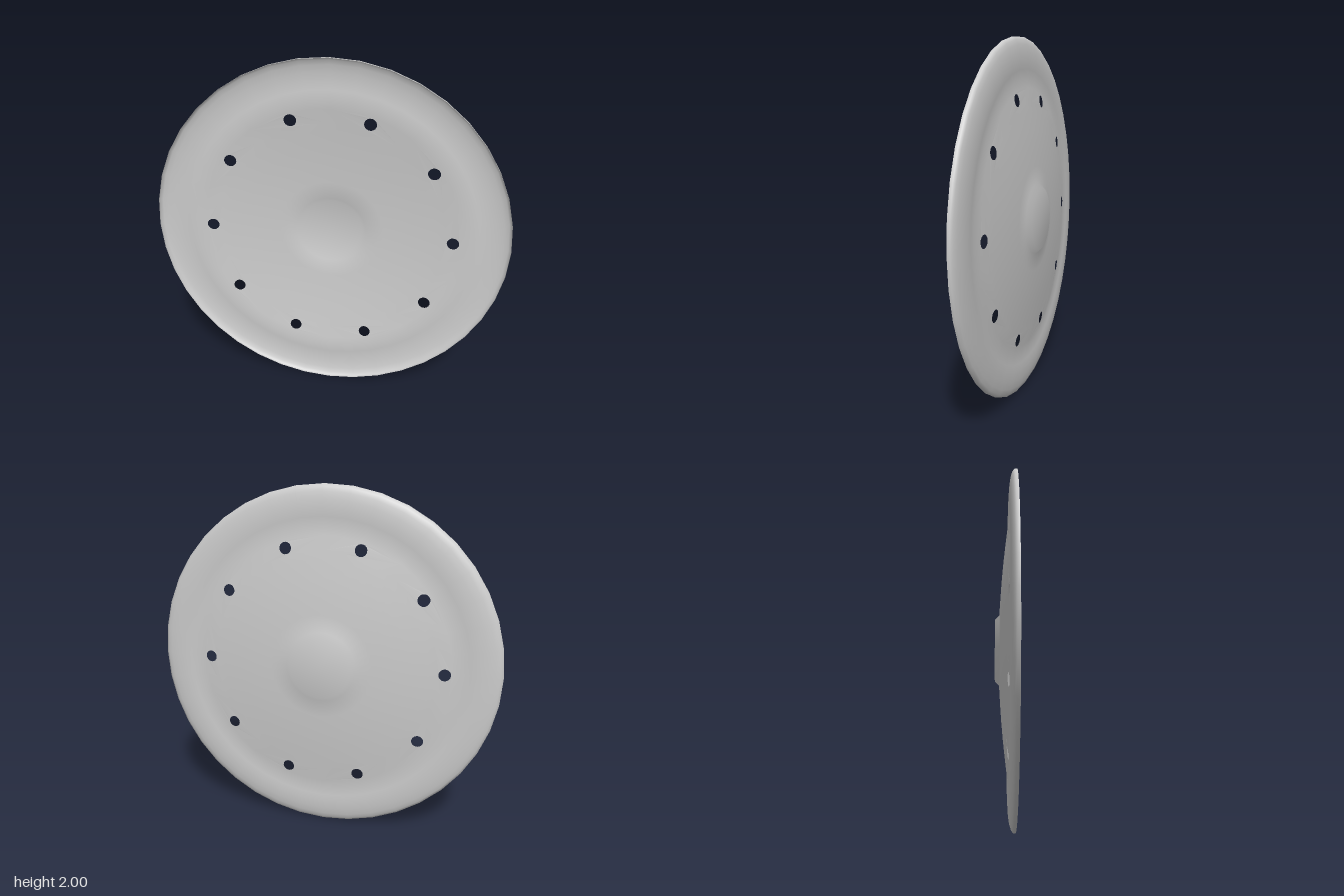
import * as THREE from 'three';
import { mergeGeometries, mergeVertices } from 'three/addons/utils/BufferGeometryUtils.js';

const SIDES = 40, HOLES = 10, HOLE_RING = 0.69, HOLE_RADIUS = 0.034;

// Radius and depth of the pressed sheet, from the hub to the band of holes
const INNER = [[0, -0.058], [0.175, -0.058], [0.2, -0.034], [0.3, -0.028], [0.4, -0.021], [0.5, -0.012], [0.6, -0.001], [0.65, 0.005]];
// From the band of holes over the raised ring and groove to the turned lip
const OUTER = [[0.73, 0.015], [0.78, 0.021], [0.83, 0.018], [0.87, 0.015], [0.92, 0.018], [0.96, 0.024], [0.985, 0.032], [1, 0.042], [1, 0.057]];

// Turned sheet whose axis points along z, facing the front
function turned(profile) {
  const geo = new THREE.LatheGeometry(profile.map(([r, z]) => new THREE.Vector2(r, z)), SIDES);
  return geo.rotateX(Math.PI / 2);
}

// One sector of the band with its hole, drawn as (angle, radius) and bent round
function holedSector(turn) {
  const [r0, z0] = INNER[INNER.length - 1];
  const [r1, z1] = OUTER[0];
  const steps = SIDES / HOLES, half = Math.PI / HOLES;
  const pts = [];
  for (let i = 0; i <= steps; i++) pts.push(new THREE.Vector2(-half + (2 * half * i) / steps, r0));
  for (let i = steps; i >= 0; i--) pts.push(new THREE.Vector2(-half + (2 * half * i) / steps, r1));
  const shape = new THREE.Shape(pts);
  const hole = [];
  for (let i = 0; i < 16; i++) {
    const a = (i / 16) * Math.PI * 2;
    const x = HOLE_RING + HOLE_RADIUS * Math.cos(a), y = HOLE_RADIUS * Math.sin(a);
    hole.push(new THREE.Vector2(Math.atan2(y, x), Math.hypot(x, y)));
  }
  shape.holes.push(new THREE.Path(hole));

  const geo = new THREE.ShapeGeometry(shape);
  const p = geo.attributes.position;
  for (let i = 0; i < p.count; i++) {
    const a = p.getX(i) + turn, r = p.getY(i);
    p.setXYZ(i, r * Math.cos(a), r * Math.sin(a), z0 + ((z1 - z0) * (r - r0)) / (r1 - r0));
  }
  // Bending mirrors the sector, so reverse its faces
  const idx = geo.index;
  for (let i = 0; i < idx.count; i += 3) {
    const b = idx.getX(i + 1);
    idx.setX(i + 1, idx.getX(i + 2));
    idx.setX(i + 2, b);
  }
  return geo;
}

// Make every face of a part look towards the front
function faceFront(geo) {
  const p = geo.attributes.position, idx = geo.index;
  const [a, b, c] = [0, 1, 2].map(() => new THREE.Vector3());
  const kept = [];
  for (let i = 0; i < idx.count; i += 3) {
    const t = [idx.getX(i), idx.getX(i + 1), idx.getX(i + 2)];
    a.fromBufferAttribute(p, t[0]);
    b.fromBufferAttribute(p, t[1]);
    c.fromBufferAttribute(p, t[2]);
    const n = b.clone().sub(a).cross(c.clone().sub(a));
    if (n.length() < 1e-9) continue;
    // The upright lip looks towards the axis
    const facing = Math.abs(n.z) > 1e-7 ? n.z : -(n.x * a.x + n.y * a.y);
    kept.push(...(facing > 0 ? t : [t[0], t[2], t[1]]));
  }
  geo.setIndex(kept);
  return geo;
}

export function createModel() {
  const group = new THREE.Group();
  group.name = 'dishedDisc';

  const parts = [turned(INNER), turned(OUTER)];
  for (let i = 0; i < HOLES; i++) parts.push(holedSector((i / HOLES) * Math.PI * 2));
  for (const g of parts) {
    g.deleteAttribute('uv');
    g.deleteAttribute('normal');
    faceFront(g);
  }

  // Weld the bands so the shading runs smoothly over the whole sheet
  const geo = mergeVertices(mergeGeometries(parts), 1e-4);
  geo.computeVertexNormals();

  const disc = new THREE.Mesh(geo, new THREE.MeshStandardMaterial({ color: 0xcccccc, side: THREE.DoubleSide }));
  disc.name = 'perforatedDisc';
  disc.position.y = 1;
  group.add(disc);
  return group;
}
